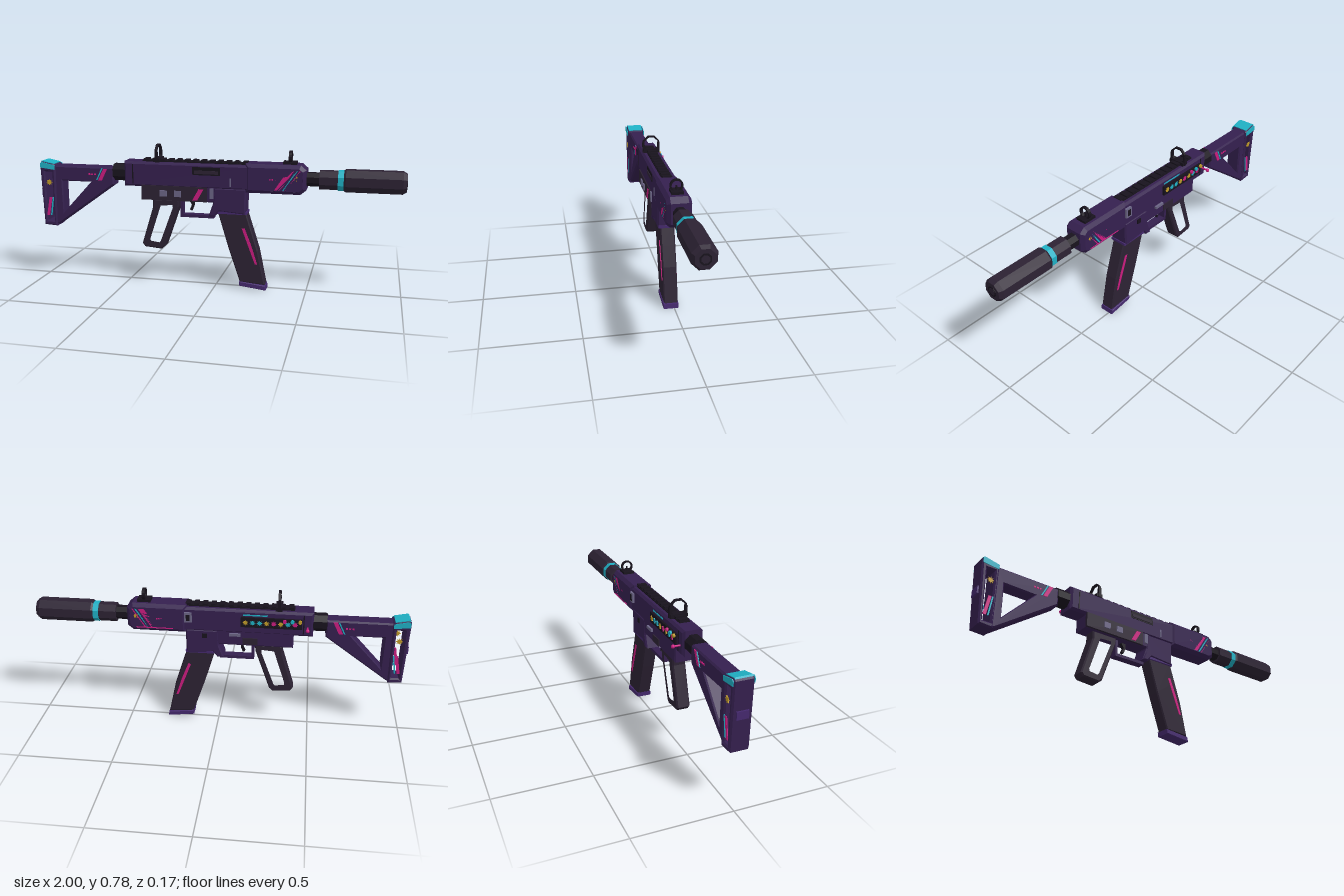
import * as THREE from 'three';

const C = 0.017; // middle plane in z
const AY = 0.618; // barrel axis height

const mat = (name, color) => Object.assign(new THREE.MeshStandardMaterial({ color }), { name });

export function createModel() {
  const M = {
    purple: mat('deep purple', 0x35204f),
    violet: mat('bright violet', 0x45296e),
    dark: mat('charcoal plum', 0x2c2233),
    black: mat('near black', 0x18131d),
    teal: mat('teal', 0x1fb0c4),
    pink: mat('magenta', 0xcc1c80),
    gold: mat('gold', 0xc09a28),
    grey: mat('violet grey', 0x6b6585),
  };
  const root = new THREE.Group();
  root.name = 'toyBlaster';

  const add = (name, geo, m, x = 0, y = 0, z = 0) => {
    const mesh = new THREE.Mesh(geo, m);
    mesh.name = name;
    mesh.position.set(x, y, z);
    root.add(mesh);
    return mesh;
  };
  // box given by its limits
  const box = (name, m, x0, x1, y0, y1, z0, z1) =>
    add(name, new THREE.BoxGeometry(x1 - x0, y1 - y0, z1 - z0), m, (x0 + x1) / 2, (y0 + y1) / 2, (z0 + z1) / 2);
  const outline = (pts, Kind = THREE.Shape) => new Kind(pts.map(p => new THREE.Vector2(...p)));
  // side profile extruded across z with chamfered edges
  const slab = (name, m, pts, half, bevel = 0, hole = null, zc = C) => {
    const s = outline(pts);
    if (hole) s.holes.push(outline(hole, THREE.Path));
    const depth = 2 * (half - bevel);
    const geo = new THREE.ExtrudeGeometry(s, {
      depth, bevelEnabled: bevel > 0, bevelSize: bevel, bevelThickness: bevel, bevelOffset: -bevel, bevelSegments: 1,
    });
    return add(name, geo.translate(0, 0, -depth / 2), m, 0, 0, zc);
  };
  // thin painted plate on both sides
  const decal = (name, m, pts, half) => {
    for (const s of [1, -1]) slab(name, m, pts, 0.002, 0, null, C + s * half);
  };
  const slash = (x, y0, y1, w, lean) => [[x, y0], [x + w, y0], [x + w + lean, y1], [x + lean, y1]];
  const rect = (x0, x1, y0, y1) => [[x0, y0], [x1, y0], [x1, y1], [x0, y1]];
  const star = (x, y, r) => Array.from({ length: 16 }, (_, i) => {
    const a = i * Math.PI / 8, k = i % 2 ? r * 0.55 : r;
    return [x + k * Math.cos(a), y + k * Math.sin(a)];
  });
  // octagonal bar along x, with flats on top; r is measured across the flats
  const octBar = (name, m, x0, x1, r0, r1 = r0) => {
    const k = 1 / Math.cos(Math.PI / 8);
    const geo = new THREE.CylinderGeometry(r1 * k, r0 * k, x1 - x0, 8).rotateY(Math.PI / 8).rotateZ(-Math.PI / 2).toNonIndexed();
    geo.computeVertexNormals();
    return add(name, geo, m, (x0 + x1) / 2, AY, C);
  };

  // Barrel and muzzle
  octBar('barrelNeck', M.black, 0.46, 0.56, 0.035);
  octBar('muzzleCollar', M.dark, 0.555, 0.652, 0.048);
  octBar('muzzleBand', M.teal, 0.65, 0.68, 0.051);
  octBar('muzzleRear', M.dark, 0.678, 0.69, 0.05, 0.057);
  octBar('muzzleBody', M.dark, 0.69, 0.975, 0.057);
  octBar('muzzleTip', M.dark, 0.975, 0.995, 0.057, 0.045);
  octBar('muzzleRing', M.black, 0.99, 0.997, 0.026);
  octBar('muzzleBore', M.dark, 0.992, 0.998, 0.018);

  // Handguard with a window right through it
  slab('handguard', M.purple,
    [[0.17, 0.54], [0.46, 0.54], [0.49, 0.565], [0.49, 0.67], [0.46, 0.695], [0.17, 0.695]], 0.062, 0.018,
    [[0.3, 0.575], [0.44, 0.575], [0.455, 0.59], [0.455, 0.645], [0.44, 0.657], [0.315, 0.657], [0.3, 0.64]]);
  decal('guardPinkSlash', M.pink, slash(0.325, 0.562, 0.668, 0.032, 0.07), 0.06);
  decal('guardTealSlash', M.teal, slash(0.368, 0.562, 0.668, 0.009, 0.07), 0.06);
  decal('guardThinSlash', M.pink, slash(0.385, 0.562, 0.668, 0.007, 0.07), 0.06);
  decal('guardStar', M.gold, star(0.44, 0.627, 0.016), 0.06);
  for (let i = 0; i < 3; i++) decal('guardDot', M.pink, rect(0.298 + i * 0.013, 0.306 + i * 0.013, 0.613, 0.621), 0.06);
  box('guardLowerLine', M.pink, 0.24, 0.44, 0.561, 0.566, C - 0.064, C - 0.06);

  // Upper receiver
  slab('receiver', M.purple, [[-0.5, 0.55], [0.2, 0.55], [0.2, 0.685], [-0.5, 0.685]], 0.054, 0.012);
  box('ejectionPort', M.black, -0.115, 0.035, 0.625, 0.668, C + 0.05, C + 0.056);
  box('portCover', M.dark, -0.105, 0.025, 0.632, 0.65, C + 0.05, C + 0.06);
  box('receiverMark', M.grey, 0.088, 0.096, 0.57, 0.615, C + 0.05, C + 0.056);
  box('receiverSeam', M.black, -0.452, -0.446, 0.565, 0.672, C - 0.056, C + 0.056);
  box('sidePlate', M.grey, 0.14, 0.18, 0.605, 0.66, C - 0.066, C - 0.05);
  box('sidePlateInset', M.black, 0.15, 0.17, 0.615, 0.65, C - 0.068, C - 0.06);

  // Top rail
  box('rail', M.black, -0.4, 0.19, 0.68, 0.692, C - 0.027, C + 0.027);
  for (let i = 0; i < 13; i++) {
    const x = -0.395 + i * 0.0455;
    box('railTooth', M.black, x, x + 0.026, 0.69, 0.7, C - 0.025, C + 0.025);
  }

  // Sights
  const hoop = (name, x, y, outer, inner, sides, w) => {
    const ring = (r, n) => Array.from({ length: n }, (_, i) => {
      const a = (i + 0.5) * 2 * Math.PI / n;
      return [r * Math.cos(a), r * Math.sin(a)];
    });
    const s = outline(ring(outer, sides));
    s.holes.push(outline(ring(inner, sides), THREE.Path));
    const geo = new THREE.ExtrudeGeometry(s, { depth: w, bevelEnabled: false }).translate(0, 0, -w / 2).rotateY(Math.PI / 2);
    add(name, geo, M.black, x, y, C);
  };
  hoop('rearSightHoop', -0.318, 0.732, 0.05, 0.041, 8, 0.014);
  for (const s of [1, -1]) box('rearSightLeg', M.black, -0.326, -0.31, 0.685, 0.74, C + s * 0.043 - 0.006, C + s * 0.043 + 0.006);
  box('rearSightBase', M.black, -0.335, -0.3, 0.685, 0.705, C - 0.046, C + 0.046);
  hoop('frontSightHoop', 0.402, 0.731, 0.033, 0.025, 20, 0.016);
  box('frontSightBase', M.black, 0.365, 0.437, 0.69, 0.708, C - 0.03, C + 0.03);
  box('frontSightPost', M.black, 0.398, 0.406, 0.7, 0.732, C - 0.003, C + 0.003);

  // Lower receiver, magazine well and trigger group
  slab('lowerReceiver', M.purple, [[-0.4, 0.478], [0.02, 0.478], [0.02, 0.565], [-0.4, 0.565]], 0.05, 0.006);
  box('lowerSidePanel', M.dark, -0.4, -0.035, 0.48, 0.56, 0.055, 0.076);
  for (const x of [-0.295, -0.215]) box('panelPad', M.grey, x, x + 0.038, 0.503, 0.536, 0.07, 0.084);
  slab('panelSlash', M.pink, slash(-0.115, 0.488, 0.55, 0.027, 0.035), 0.002, 0, null, 0.078);
  box('magazineCatch', M.grey, -0.022, 0.0, 0.5, 0.555, 0.06, 0.074);
  slab('magazineWell', M.purple,
    [[0, 0.56], [-0.005, 0.47], [-0.03, 0.4], [0.005, 0.4], [0.03, 0.43], [0.172, 0.418], [0.176, 0.56]], 0.052, 0.008);
  box('triggerGuardFloor', M.purple, -0.19, -0.005, 0.384, 0.4, C - 0.022, C + 0.022);
  box('triggerGuardRear', M.purple, -0.192, -0.178, 0.384, 0.485, C - 0.022, C + 0.022);
  slab('trigger', M.black, [[-0.15, 0.485], [-0.12, 0.485], [-0.118, 0.45], [-0.13, 0.42], [-0.142, 0.425], [-0.13, 0.452]], 0.01);
  box('selectorBar', M.grey, -0.12, -0.06, 0.535, 0.55, C - 0.062, C - 0.048);
  box('backPin', M.black, 0.06, 0.085, 0.515, 0.54, C - 0.058, C - 0.05);
  box('backPanel', M.dark, -0.21, -0.13, 0.488, 0.525, C - 0.056, C - 0.048);

  // Open-frame pistol grip
  slab('pistolGrip', M.dark,
    [[-0.345, 0.48], [-0.195, 0.48], [-0.2, 0.44], [-0.28, 0.215], [-0.3, 0.198], [-0.395, 0.206], [-0.41, 0.225], [-0.345, 0.435]],
    0.036, 0.007,
    [[-0.305, 0.452], [-0.228, 0.458], [-0.224, 0.435], [-0.297, 0.24], [-0.31, 0.228], [-0.366, 0.236], [-0.37, 0.255]]);

  // Curved magazine
  slab('magazine', M.dark,
    [[0.015, 0.44], [0.17, 0.44], [0.205, 0.33], [0.24, 0.22], [0.28, 0.03], [0.142, 0.04], [0.075, 0.24]], 0.038, 0.006);
  decal('magazineStripe', M.pink, [[0.152, 0.342], [0.168, 0.342], [0.206, 0.245], [0.238, 0.145], [0.226, 0.145], [0.19, 0.24]], 0.039);
  slab('magazineBase', M.violet, [[0.138, 0.043], [0.283, 0.026], [0.286, 0], [0.14, 0.018]], 0.041, 0.003);
  box('magazineWellLip', M.violet, 0.02, 0.178, 0.418, 0.432, C - 0.047, C + 0.047);

  // Back control strip with cocking knob and coloured buttons
  box('controlStrip', M.black, -0.44, -0.12, 0.595, 0.65, C - 0.066, C - 0.05);
  box('controlLine', M.teal, -0.26, -0.13, 0.656, 0.663, C - 0.056, C - 0.052);
  const zs = C - 0.068;
  const order = [M.gold, M.teal, M.teal, M.gold, M.pink, M.gold, M.teal, M.pink];
  order.forEach((m, i) => slab('controlSticker', m, star(-0.145 - i * 0.037, 0.622, 0.015), 0.002, 0, null, zs));
  [M.gold, M.teal, M.pink].forEach((m, i) =>
    add('controlButton', new THREE.CylinderGeometry(0.01, 0.01, 0.014, 10).rotateX(Math.PI / 2), m, -0.43 + i * 0.04, 0.64, C - 0.07));
  add('cockingStem', new THREE.CylinderGeometry(0.005, 0.005, 0.045, 8).rotateX(Math.PI / 2), M.pink, -0.47, 0.603, C - 0.07);
  add('cockingKnob', new THREE.SphereGeometry(0.01, 12, 8), M.pink, -0.47, 0.603, -0.075);

  // Skeleton stock
  octBar('stockTube', M.black, -0.57, -0.495, 0.045);
  slab('stockFrame', M.purple,
    [[-0.92, 0.31], [-0.9, 0.31], [-0.565, 0.55], [-0.565, 0.645], [-0.92, 0.645]], 0.042, 0.008,
    [[-0.868, 0.38], [-0.7, 0.56], [-0.868, 0.56]]);
  slab('buttPad', M.purple,
    [[-0.985, 0.305], [-0.91, 0.3], [-0.905, 0.645], [-0.92, 0.655], [-0.985, 0.667], [-0.997, 0.655]], 0.051, 0.008,
    [[-0.966, 0.33], [-0.926, 0.33], [-0.926, 0.61], [-0.968, 0.61]]);
  box('buttBump', M.violet, -1, -0.98, 0.47, 0.51, C - 0.03, C + 0.03);
  decal('buttBand', M.teal, [[-0.992, 0.632], [-0.908, 0.622], [-0.908, 0.647], [-0.985, 0.664], [-0.994, 0.655]], 0.052);
  slab('buttTopBand', M.teal, [[-0.992, 0.664], [-0.915, 0.652], [-0.915, 0.656], [-0.985, 0.67]], 0.044);
  decal('buttStar', M.gold, star(-0.945, 0.55, 0.018), 0.049);
  decal('buttPinkSlash', M.pink, slash(-0.968, 0.36, 0.465, 0.016, 0.02), 0.049);
  decal('buttTealSlash', M.teal, slash(-0.945, 0.36, 0.465, 0.007, 0.016), 0.049);
  decal('stockPinkSlash', M.pink, slash(-0.655, 0.572, 0.637, 0.022, 0.032), 0.043);
  decal('stockTealSlash', M.teal, slash(-0.667, 0.572, 0.637, 0.007, 0.032), 0.043);
  for (let i = 0; i < 3; i++) decal('stockDot', M.pink, rect(-0.71 + i * 0.016, -0.7 + i * 0.016, 0.6, 0.609), 0.043);

  return root;
}
